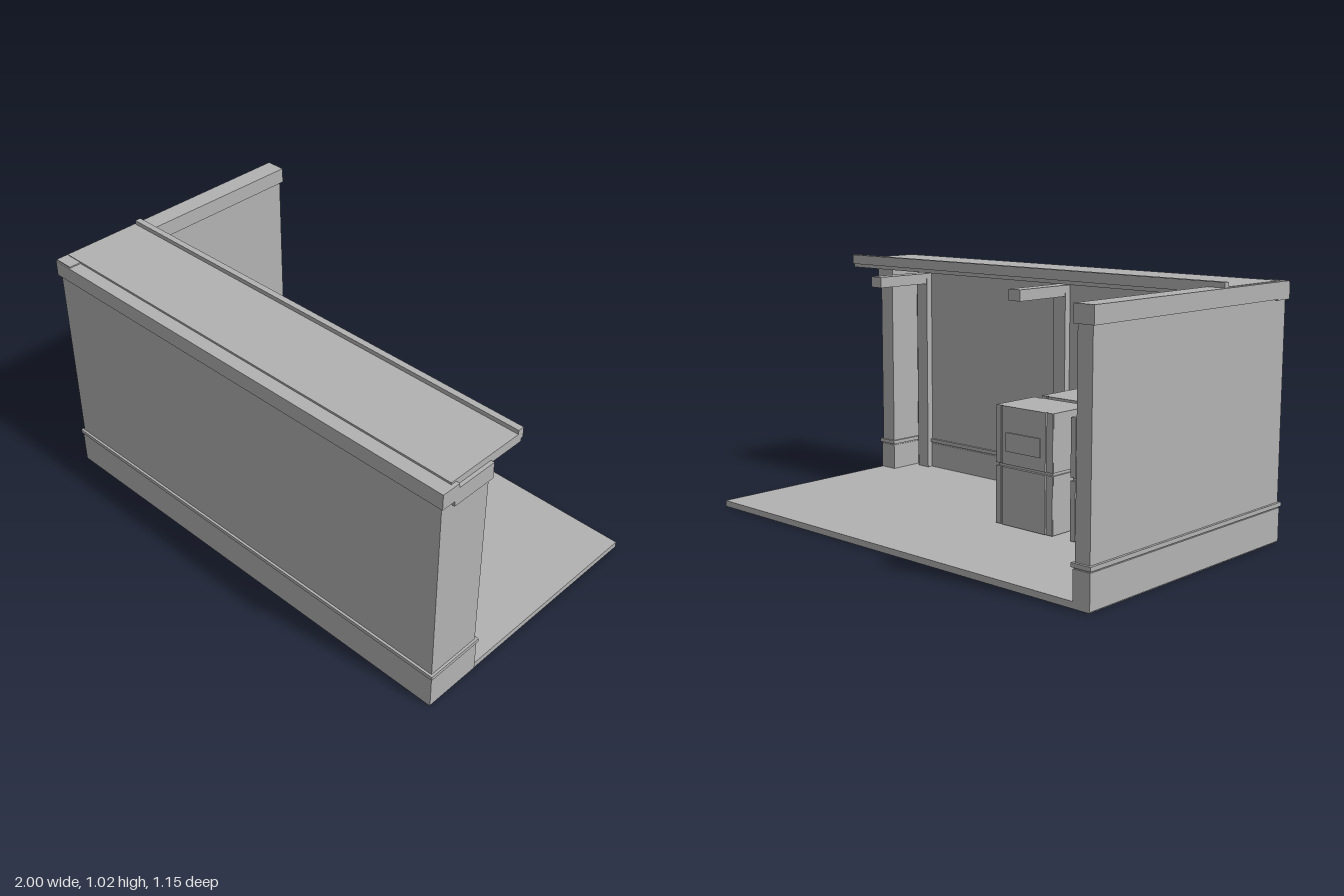
import * as THREE from 'three';

export function createModel() {
  const model = new THREE.Group();
  const grey = new THREE.MeshStandardMaterial({ color: 0xb2b2b2 });
  grey.name = 'plain grey';

  // Box given by its minimum and maximum on each axis
  function box(name, [x0, x1], [y0, y1], [z0, z1], parent = model) {
    const mesh = new THREE.Mesh(new THREE.BoxGeometry(x1 - x0, y1 - y0, z1 - z0), grey);
    mesh.position.set((x0 + x1) / 2, (y0 + y1) / 2, (z0 + z1) / 2);
    mesh.name = name;
    parent.add(mesh);
    return mesh;
  }

  // Wall section with a skirting base and a moulding just above it
  function wall(name, [x0, x1], [z0, z1], top) {
    const group = new THREE.Group();
    group.name = name;
    const layer = (part, grow, y) =>
      box(part, [x0 - grow, x1 + grow], y, [z0 - grow, z1 + grow], group);
    layer('wallBody', 0, [0.004, top]);
    layer('skirting', 0.005, [0.004, 0.136]);
    layer('skirtingStep', 0.002, [0.136, 0.142]);
    layer('skirtingMoulding', 0.01, [0.142, 0.158]);
    model.add(group);
  }

  // Floor and the three walls
  box('floor', [-0.99, 0.99], [0, 0.025], [-0.57, 0.57]);
  wall('frontWall', [-0.988, 0.988], [0.485, 0.565], 0.97);
  wall('sideWall', [-0.988, -0.925], [-0.565, 0.565], 0.97);
  wall('endPost', [0.915, 0.988], [0.33, 0.565], 0.97);

  // Capping bands
  box('frontCap', [-1, 1], [0.936, 1.0], [0.495, 0.575]);
  box('frontInnerCap', [-0.92, 0.92], [0.936, 0.972], [0.475, 0.5]);
  box('sideCap', [-1, -0.915], [0.94, 1.005], [-0.575, 0.57]);
  box('endPostCap', [0.905, 1], [0.915, 0.982], [0.322, 0.515]);

  // Counter top with a raised rail along its inner edge
  box('counterTop', [-0.99, 0.985], [0.97, 1.008], [0.165, 0.52]);
  box('counterRail', [-0.99, 0.985], [0.985, 1.025], [0.157, 0.183]);

  // Pilasters on the inner face, each carrying a bracket arm
  for (const x of [0.85, 0.02, -0.755]) {
    box('pilaster', [x - 0.032, x + 0.032], [0.025, 0.93], [0.455, 0.49]);
    box('bracketArm', [x - 0.031, x + 0.031], [0.885, 0.932], [0.175, 0.49]);
  }

  // Two-tier cabinet; facing is -1 for doors towards the back, +1 towards the front
  function cabinet(x, z, facing) {
    const group = new THREE.Group();
    group.name = 'cabinet';
    box('cabinetCore', [-0.14, 0.14], [0.025, 0.5], [-0.104, 0.104], group);
    for (const [y0, y1] of [[0.028, 0.262], [0.274, 0.505]]) {
      box('cabinetBody', [-0.147, 0.147], [y0, y1], [-0.109, 0.109], group);
      for (const s of [-1, 1]) {
        box('cabinetPanel', [-0.112, 0.112], [y0, y1], [s * 0.112 - 0.004, s * 0.112 + 0.004], group);
        for (const e of [-1, 1]) {
          box('panelEdge', [e * 0.134 - 0.012, e * 0.134 + 0.012], [y0, y1],
            [s * 0.11 - 0.003, s * 0.11 + 0.003], group);
        }
      }
    }
    box('cabinetHandle', [-0.088, 0.088], [0.327, 0.402],
      [facing * 0.119 - 0.003, facing * 0.119 + 0.003], group);
    group.position.set(x, 0, z);
    model.add(group);
  }
  for (const x of [-0.613, -0.232]) {
    cabinet(x, 0.069, -1);
    cabinet(x, 0.341, 1);
  }

  // Louvred ventilation unit on the inner side wall
  box('ventUnit', [-0.93, -0.847], [0.605, 0.826], [0.028, 0.44]);
  for (let i = 0; i < 5; i++) {
    const y = 0.637 + i * 0.035;
    box('ventSlat', [-0.85, -0.836], [y - 0.004, y + 0.004], [0.067, 0.4]);
  }

  return model;
}
